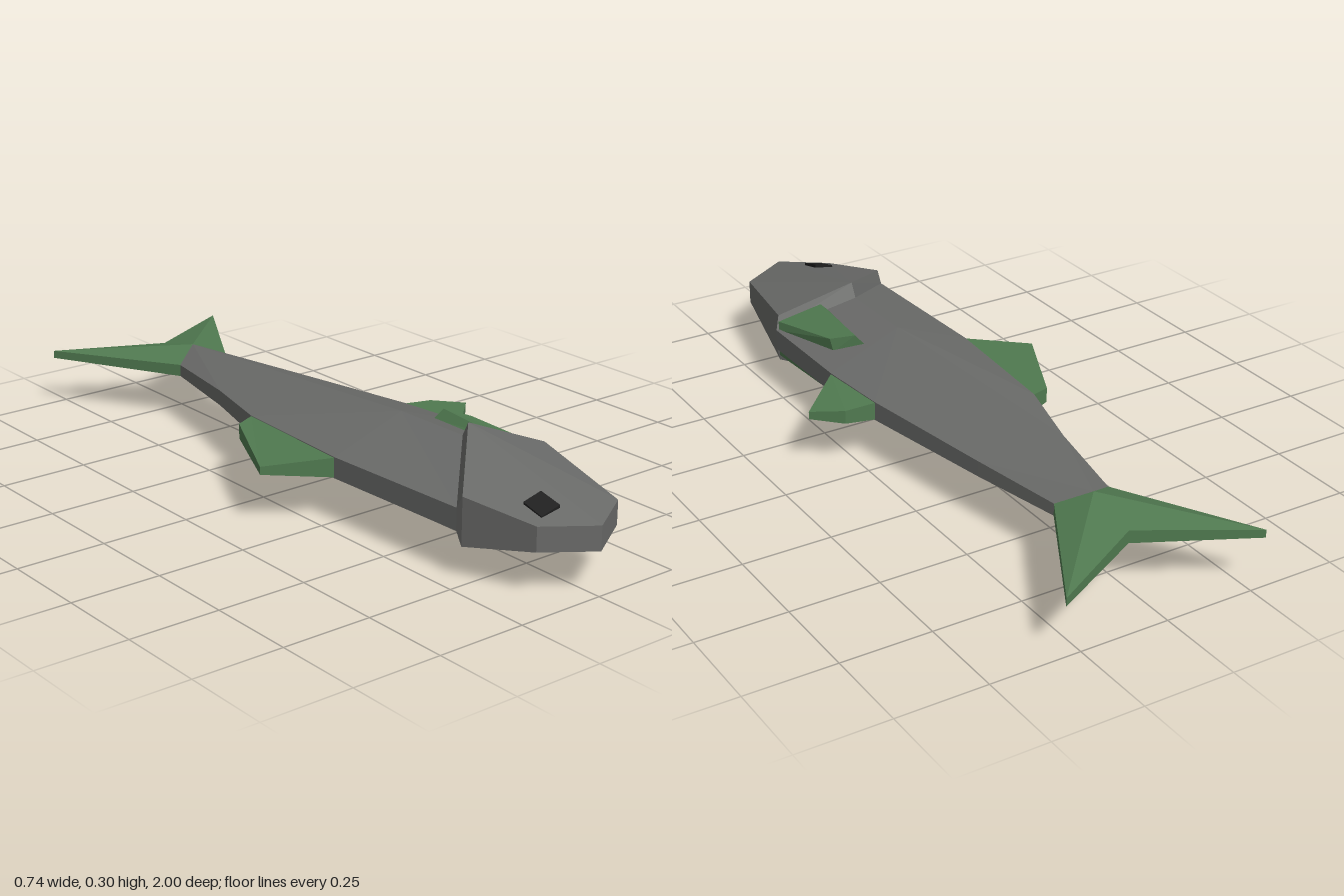
import * as THREE from 'three';

const MID = 0.15; // height of the plane of symmetry
const mat = (name, color) => {
  const m = new THREE.MeshStandardMaterial({ color, flatShading: true, side: THREE.DoubleSide });
  m.name = name;
  return m;
};

// Mesh from triangles of [x, y, z] corners
function meshOf(name, tris, material) {
  const g = new THREE.BufferGeometry();
  g.setAttribute('position', new THREE.Float32BufferAttribute(tris.flat(2), 3));
  g.computeVertexNormals();
  const mesh = new THREE.Mesh(g, material);
  mesh.name = name;
  return mesh;
}

const quad = (a, b, c, d) => [[a, b, c], [a, c, d]];
const flip = ([x, y, z]) => [x, 2 * MID - y, z];
const withMirror = tris => [...tris, ...tris.map(([a, b, c]) => [flip(a), flip(c), flip(b)])];

// Turn a triangle so that it faces up
function faceUp([a, b, c]) {
  const ny = (b[2] - a[2]) * (c[0] - a[0]) - (b[0] - a[0]) * (c[2] - a[2]);
  return ny < 0 ? [a, c, b] : [a, b, c];
}

// Solid mirrored in height: points are [x, z, half thickness], faces are fans
// of point names, rims are counter-clockwise chains joined by upright walls
function solid(name, points, faces, rims, material) {
  const p = {};
  for (const k in points) p[k] = [points[k][0], MID + points[k][2], points[k][1]];
  const top = [];
  for (const f of faces.map(s => s.split(' ')))
    for (let i = 1; i < f.length - 1; i++) top.push(faceUp([p[f[0]], p[f[i]], p[f[i + 1]]]));
  const tris = withMirror(top);
  for (const r of rims.map(s => s.split(' ')))
    for (let i = 0; i < r.length - 1; i++) {
      const a = p[r[i]], b = p[r[i + 1]];
      tris.push(...quad(flip(a), flip(b), b, a));
    }
  return meshOf(name, tris, material);
}

// Plate between a top and a bottom loop, repeated on the underside
function platePair(name, top, bottom, material) {
  const tris = [...quad(...top), ...quad(...[...bottom].reverse())];
  top.forEach((a, i) => {
    const j = (i + 1) % top.length;
    tris.push(...quad(bottom[i], bottom[j], top[j], a));
  });
  return meshOf(name, withMirror(tris), material);
}

export function createModel() {
  const grey = mat('body grey', 0x6a6b69);
  const green = mat('fin green', 0x507a50);
  const black = mat('eye black', 0x1e1e1e);
  const model = new THREE.Group();
  model.name = 'fish';

  // Body tapering to the tail, with a ridge down the middle
  const body = {
    l0: [-0.075, -0.64, 0.017], l1: [-0.125, -0.37, 0.022], l2: [-0.185, -0.14, 0.026],
    l3: [-0.208, 0.25, 0.029], l4: [-0.19, 0.7, 0.03],
    r4: [0.228, 0.57, 0.03], r3: [0.225, 0.25, 0.029], r2: [0.205, 0.04, 0.027],
    r1: [0.137, -0.37, 0.022], r0: [0.087, -0.64, 0.017],
    tail: [0.005, -0.69, 0.052], mid: [0.006, 0.26, 0.11], front: [0.01, 0.495, 0.11],
  };
  model.add(solid('body', body,
    ['mid front l4 l3 l2', 'mid l2 l1 tail', 'tail l1 l0', 'mid front r4 r3 r2', 'mid r2 r1 tail', 'tail r1 r0'],
    ['l0 l1 l2 l3 l4', 'r4 r3 r2 r1 r0'], grey));

  // Head rising to a peak, with a step down to the body behind it
  model.add(solid('head', {
    nose: [0, 1, 0.033], a: [-0.125, 0.91, 0.033], b: [-0.19, 0.72, 0.065],
    c: [0.145, 0.91, 0.033], d: [0.215, 0.58, 0.07], peak: [0.01, 0.515, 0.15],
    bl: body.l4, br: body.r4, back: body.front,
  }, ['peak b a nose c d', 'peak b bl back', 'peak d br back'],
  ['bl b a nose c d br'], grey));

  // Forked tail fin
  model.add(solid('tailFin', {
    root: body.tail, l: body.l0, r: body.r0, notch: [0.005, -0.84, 0.018],
    lt: [-0.285, -1, 0.011], rt: [0.295, -1, 0.011],
  }, ['root l lt', 'root lt notch', 'root notch rt', 'root rt r'],
  ['r rt notch lt l'], green));

  // Side fins
  model.add(solid('rightSideFin', {
    a: [-0.185, -0.14, 0.025], b: [-0.24, -0.12, 0.021], c: [-0.37, 0.15, 0.011], d: [-0.207, 0.25, 0.027],
  }, ['a b c d'], ['a b c d'], green));
  model.add(solid('leftSideFin', {
    a: [0.225, 0.25, 0.026], b: [0.368, 0.11, 0.011], c: [0.29, 0.05, 0.019], d: [0.205, 0.04, 0.025],
  }, ['a b c d'], ['a b c d'], green));

  // Pair of fins lying behind the head
  model.add(platePair('pectoralFins',
    [[0.122, 0.25, 0.295], [0.1, 0.245, 0.55], [0.218, 0.203, 0.575], [0.175, 0.232, 0.345]],
    [[0.1, 0.222, 0.28], [0.08, 0.225, 0.53], [0.222, 0.178, 0.57], [0.17, 0.195, 0.335]], green));

  // Eyes, tilted to follow the head
  const eye = y => [[-0.095, 0.83], [-0.095, 0.893], [-0.035, 0.893], [-0.038, 0.83]]
    .map(([x, z]) => [x, y + 0.25 * (x + 0.065) - 0.28 * (z - 0.86), z]);
  model.add(platePair('eyes', eye(0.212), eye(0.198), black));

  return model;
}
